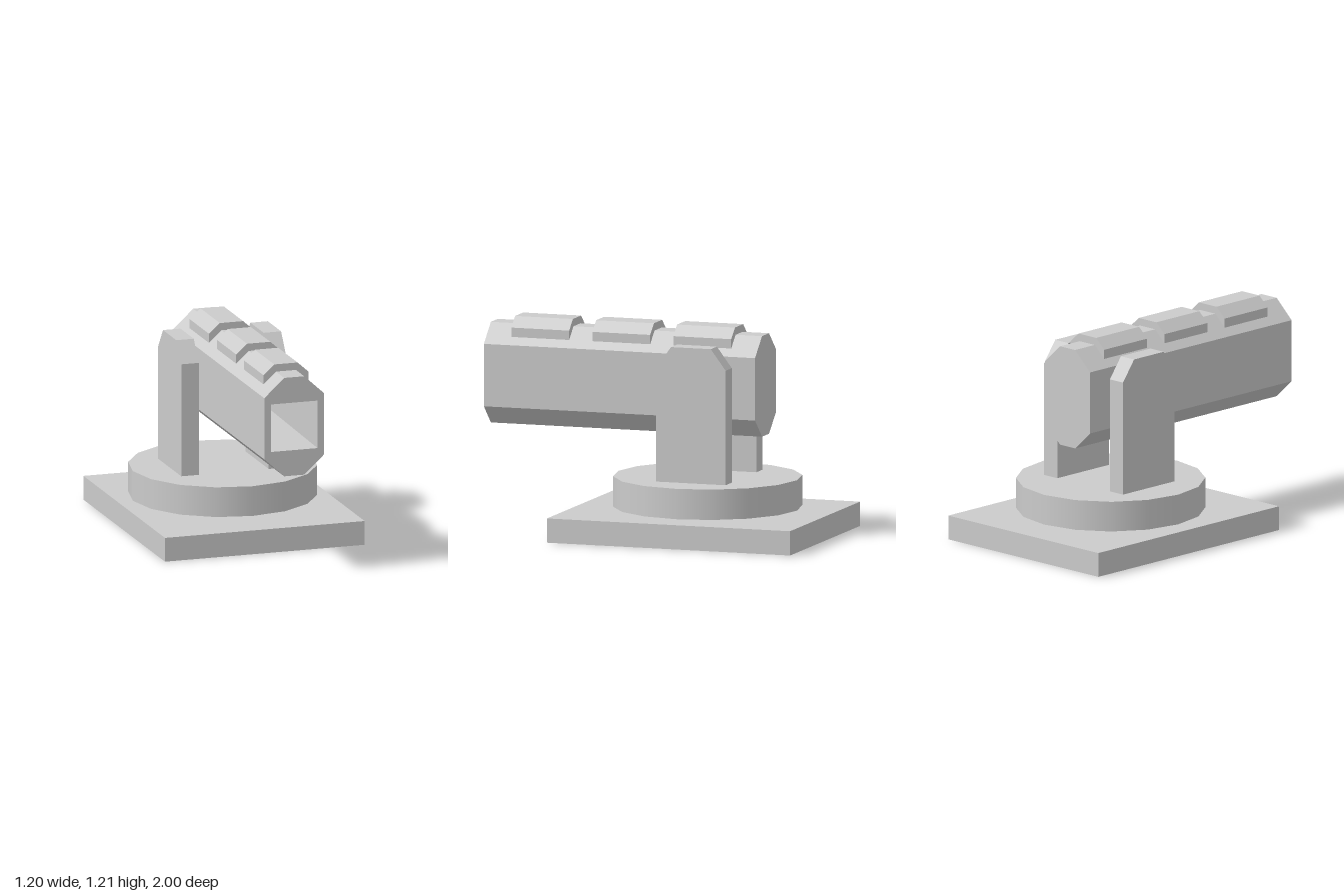
import * as THREE from 'three';

const material = new THREE.MeshStandardMaterial({ color: 0xcccccc });
const openMaterial = new THREE.MeshStandardMaterial({ color: 0xcccccc, side: THREE.DoubleSide });

function part(name, geometry, mat = material) {
  const mesh = new THREE.Mesh(geometry, mat);
  mesh.name = name;
  return mesh;
}

// straight prism from a 2D outline, extruded along +z
function prism(points, depth) {
  const shape = new THREE.Shape(points.map(([x, y]) => new THREE.Vector2(x, y)));
  return new THREE.ExtrudeGeometry(shape, { depth, bevelEnabled: false });
}

// faceted skin through rings of equal point count
function loft(rings) {
  const positions = [];
  const n = rings[0].length;
  for (let r = 0; r < rings.length - 1; r++) {
    for (let i = 0; i < n; i++) {
      const j = (i + 1) % n;
      const a = rings[r][i], b = rings[r][j], c = rings[r + 1][j], d = rings[r + 1][i];
      // skip triangles that collapse where points coincide
      for (const tri of [[a, b, c], [a, c, d]]) {
        const keys = new Set(tri.map((p) => p.join()));
        if (keys.size === 3) positions.push(...tri.flat());
      }
    }
  }
  const geometry = new THREE.BufferGeometry();
  geometry.setAttribute('position', new THREE.Float32BufferAttribute(positions, 3));
  geometry.computeVertexNormals();
  return geometry;
}

export function createModel() {
  const model = new THREE.Group();
  model.name = 'cannonTurret';

  // base slab, open underneath
  const slab = new THREE.BoxGeometry(1.2, 0.14, 1.47);
  const index = Array.from(slab.index.array);
  index.splice(18, 6);
  slab.setIndex(index);
  slab.clearGroups();
  const base = part('basePlate', slab, openMaterial);
  base.position.set(0, 0.07, -0.265);
  model.add(base);

  // turntable, hovering just above the base
  const turntable = part('turntable', new THREE.CylinderGeometry(0.54, 0.54, 0.175, 16));
  turntable.position.set(0, 0.2525, -0.29);
  model.add(turntable);

  // support posts with chamfered tops, profile drawn in the side plane
  const postProfile = [
    [0.09, 0.34], [0.51, 0.34], [0.51, 1.0], [0.42, 1.12], [0.18, 1.12], [0.09, 1.0],
  ];
  const postGeometry = prism(postProfile, 0.105).rotateY(Math.PI / 2);
  for (const [name, x] of [['leftPost', 0.21], ['rightPost', -0.315]]) {
    const post = part(name, postGeometry);
    post.position.x = x;
    model.add(post);
  }

  // barrel: octagonal tube, closed at the back, with a tapering square bore
  const outline = [
    [0.18, 0.7], [0.18, 1.06], [0.06, 1.17], [-0.06, 1.17],
    [-0.18, 1.06], [-0.18, 0.7], [-0.06, 0.59], [0.06, 0.59],
  ];
  const ring = (z) => outline.map(([x, y]) => [x, y, z]);
  const point = (z) => outline.map(() => [0, 0.88, z]);
  const bore = outline.map(([x, y]) => [Math.sign(x) * 0.14, 0.88 + Math.sign(y - 0.88) * 0.14, 1]);
  model.add(part('barrel', loft([point(-0.64), ring(-0.64), ring(1), bore, point(0)])));

  // armour plates along the top of the barrel
  const plateProfile = [
    [-0.135, 1.1], [0.135, 1.1], [0.135, 1.155], [0.07, 1.213], [-0.07, 1.213], [-0.135, 1.155],
  ];
  const plateGeometry = prism(plateProfile, 0.35);
  [0.5, 0.01, -0.48].forEach((z, i) => {
    const plate = part(`topPlate${i + 1}`, plateGeometry);
    plate.position.z = z;
    model.add(plate);
  });

  return model;
}
